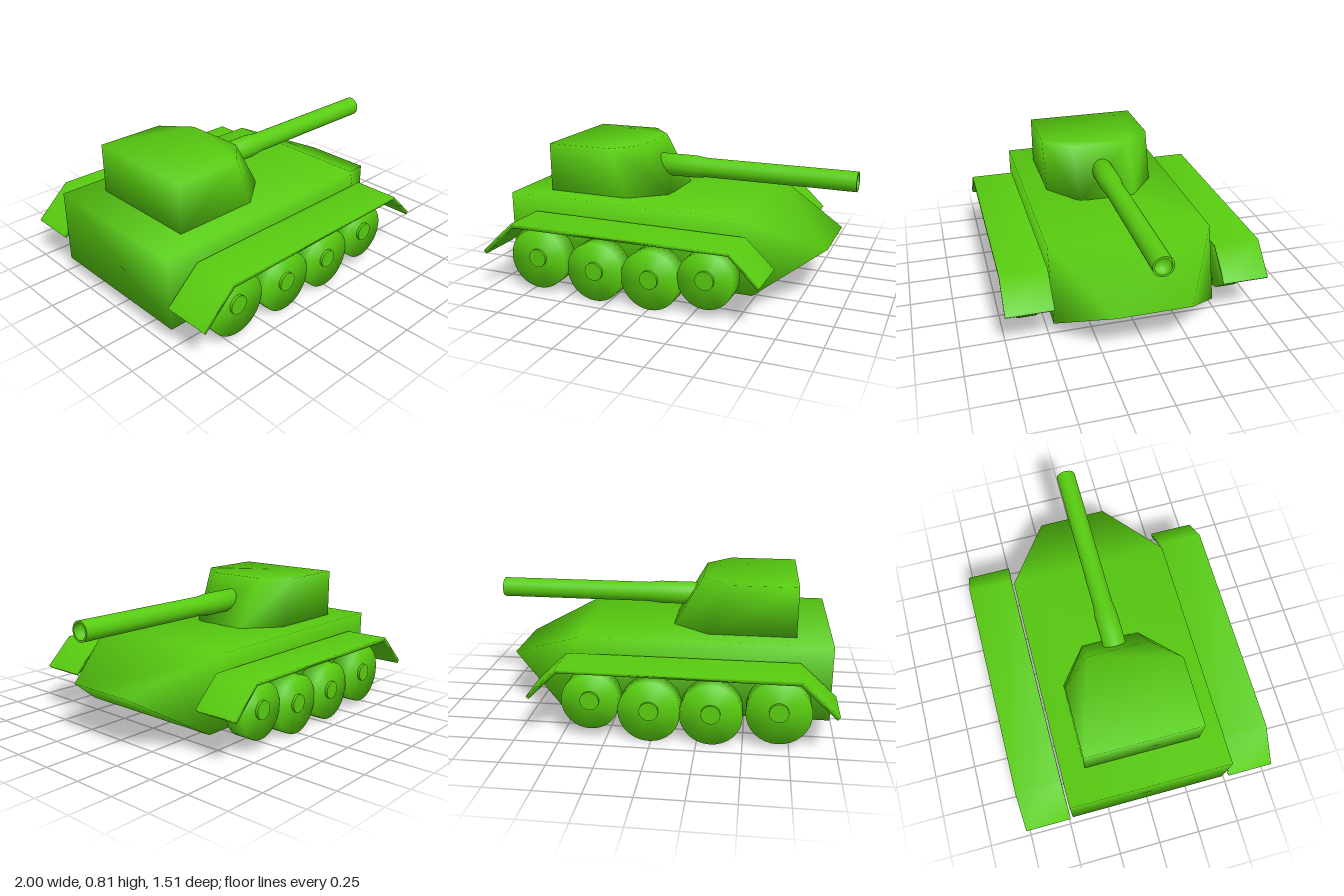
import * as THREE from 'three';
import { mergeVertices } from 'three/addons/utils/BufferGeometryUtils.js';
import { ConvexGeometry } from 'three/addons/geometries/ConvexGeometry.js';

const paint = new THREE.MeshStandardMaterial({ color: 0x58cc10 });

// Share the corners so that shading runs smoothly across the edges
function soften(geometry) {
  geometry.deleteAttribute('normal');
  geometry.deleteAttribute('uv');
  const merged = mergeVertices(geometry, 1e-4);
  merged.computeVertexNormals();
  return merged;
}

function part(name, geometry, parent) {
  const mesh = new THREE.Mesh(geometry, paint);
  mesh.name = name;
  parent.add(mesh);
  return mesh;
}

// Convex solid from half its corners, mirrored across z = 0
function mirroredSolid(corners) {
  const points = corners.flatMap(([x, y, z]) => [
    new THREE.Vector3(x, y, z), new THREE.Vector3(x, y, -z)]);
  return soften(new ConvexGeometry(points));
}

export function createModel() {
  const tank = new THREE.Group();
  tank.name = 'tank';

  // Hull with a wedge nose
  part('hull', mirroredSolid([
    [-0.975, 0.095, 0.475], [-0.975, 0.525, 0.475],
    [0.43, 0.525, 0.475], [0.54, 0.095, 0.475], [0.89, 0.32, 0.21],
  ]), tank);

  // Turret with a sloped front and cut corners
  part('turret', mirroredSolid([
    [-0.78, 0.52, 0.338], [-0.78, 0.813, 0.338],
    [-0.38, 0.813, 0.338], [-0.24, 0.813, 0.18],
    [-0.28, 0.52, 0.338], [-0.07, 0.52, 0.17],
  ]), tank);

  // Gun: thick sleeve, thin barrel and a shallow bore
  const profile = [
    [0, -0.2], [0.067, -0.2], [0.067, 0.03], [0.058, 0.1],
    [0.058, 1], [0.058, 1], [0.046, 1], [0.046, 1], [0.046, 0.95], [0, 0.95],
  ].map(([r, y]) => new THREE.Vector2(r, y));
  const gun = part('gunBarrel', new THREE.LatheGeometry(profile, 32), tank);
  gun.rotation.z = -Math.PI / 2;
  gun.position.set(0, 0.667, 0.003);

  // Fender: a thin bent strip
  const strip = new THREE.Shape([
    [-1, 0.247], [-0.985, 0.228], [-0.79, 0.408], [0.49, 0.416],
    [0.65, 0.258], [0.664, 0.272], [0.5, 0.432], [-0.8, 0.432],
  ].map(([x, y]) => new THREE.Vector2(x, y)));
  const fenderGeometry = soften(new THREE.ExtrudeGeometry(strip, { depth: 0.267, bevelEnabled: false }));

  // Wheels: centre x, centre y, radius
  const wheels = [
    [-0.69, 0.205, 0.177], [-0.327, 0.175, 0.172],
    [0.01, 0.175, 0.172], [0.335, 0.22, 0.16],
  ];

  for (const [side, label] of [[1, 'near'], [-1, 'far']]) {
    const gear = new THREE.Group();
    gear.name = label + 'RunningGear';
    tank.add(gear);

    part('fender', fenderGeometry, gear).position.z = side > 0 ? 0.488 : -0.755;

    wheels.forEach(([x, y, radius], i) => {
      const wheel = part('wheel' + (i + 1), soften(new THREE.CylinderGeometry(radius, radius, 0.113, 32)), gear);
      wheel.rotation.x = Math.PI / 2;
      wheel.position.set(x, y, side * 0.608);
      const hub = part('hub' + (i + 1), new THREE.CylinderGeometry(0.053, 0.053, 0.03, 24), gear);
      hub.rotation.x = Math.PI / 2;
      hub.position.set(x, y + 0.009, side * 0.665);
    });
  }
  return tank;
}
